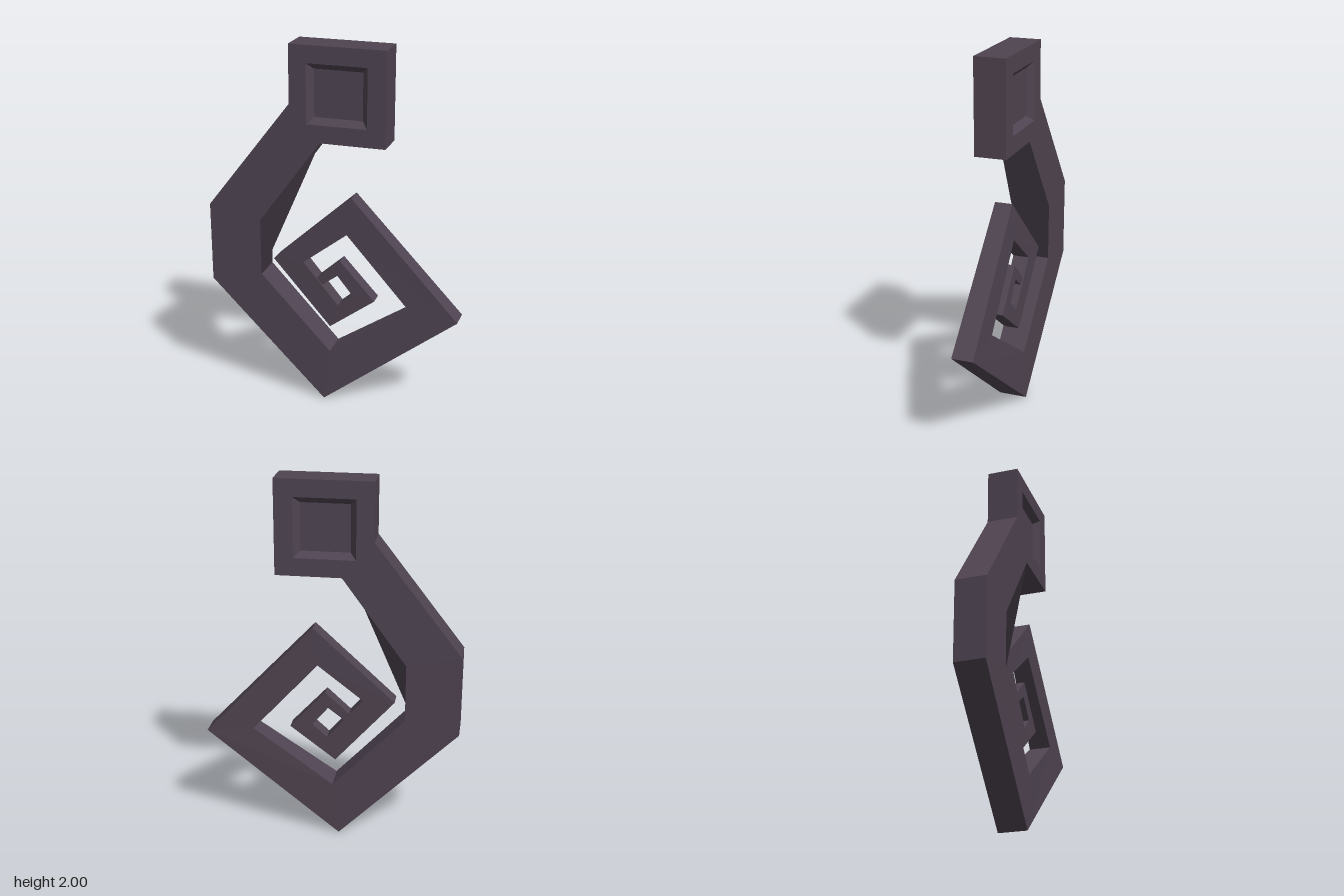
import * as THREE from 'three';

const material = new THREE.MeshStandardMaterial({ color: 0x4f4451 });
material.name = 'dark plum metal';

// Flat-shaded mesh from a list of convex faces (arrays of [x, y, z] corners)
function facesMesh(name, faces, normal) {
  const pos = [];
  for (const f of faces)
    for (let i = 1; i < f.length - 1; i++) pos.push(...f[0], ...f[i], ...f[i + 1]);
  const geo = new THREE.BufferGeometry();
  geo.setAttribute('position', new THREE.Float32BufferAttribute(pos, 3));
  geo.computeVertexNormals();
  if (normal) {
    const n = geo.attributes.normal;
    for (let i = 0; i < n.count; i++) n.setXYZ(i, ...normal);
  }
  const mesh = new THREE.Mesh(geo, material);
  mesh.name = name;
  return mesh;
}

// Cross-sections along the spiral: outer x, y, inner x, y, half depth
const sections = [
  [-0.225, 1.69, -0.06, 1.495, 0.085],
  [-0.69, 1.09, -0.4, 1.03, 0.084],
  [-0.69, 0.65, -0.4, 0.715, 0.082],
  [-0.045, 0.0, -0.01, 0.3, 0.077],
  [0.69, 0.57, 0.43, 0.6, 0.058],
  [0.1, 1.2, 0.075, 0.99, 0.048],
  [-0.34, 0.8, -0.17, 0.8, 0.045],
  [-0.02, 0.435, 0.025, 0.568, 0.042],
  [0.228, 0.62, 0.105, 0.64, 0.04],
  [0.035, 0.83, 0.02, 0.742, 0.038],
  [-0.095, 0.713, -0.068, 0.675, 0.036],
].map(([ox, oy, ix, iy, d]) => ({
  of: [ox, oy, d], ob: [ox, oy, -d], inf: [ix, iy, d], inb: [ix, iy, -d],
}));

function createSpiral() {
  const faces = [];
  for (let i = 0; i < sections.length - 1; i++) {
    const a = sections[i], b = sections[i + 1];
    faces.push([a.of, b.of, b.inf, a.inf]); // front
    faces.push([a.inb, b.inb, b.ob, a.ob]); // back
    faces.push([a.of, a.ob, b.ob, b.of]); // outer wall
    if (i > 1) faces.push([a.inf, b.inf, b.inb, a.inb]); // inner wall
  }
  const e = sections[sections.length - 1];
  faces.push([e.of, e.ob, e.inb, e.inf]); // tip
  return facesMesh('spiralHook', faces);
}

// Inner side of the neck: one bent six-sided panel that bridges the front corner
function createNeckPanel() {
  const [a, b, c] = sections;
  return facesMesh('neckInnerPanel', [
    [a.inf, b.inf, c.inf], [a.inf, c.inf, b.inb],
    [c.inf, c.inb, b.inb], [a.inf, b.inb, a.inb],
  ], [0.92, -0.4, 0]);
}

// Square head with a bevelled recess on the front and back
function createHead() {
  const rect = (x0, x1, y0, y1, z) => [[x0, y0, z], [x1, y0, z], [x1, y1, z], [x0, y1, z]];
  const outer = [-0.225, 0.29, 1.495, 2];
  const rim = [-0.132, 0.192, 1.59, 1.907];
  const floor = [-0.1, 0.16, 1.622, 1.874];
  const loops = [
    rect(...floor, 0.05), rect(...rim, 0.085), rect(...outer, 0.085),
    rect(...outer, -0.085), rect(...rim, -0.085), rect(...floor, -0.05),
  ];
  const faces = [loops[0], [...loops[5]].reverse()];
  for (let k = 0; k < 5; k++)
    for (let i = 0; i < 4; i++) {
      const j = (i + 1) % 4, p = loops[k], q = loops[k + 1];
      faces.push([p[i], q[i], q[j], p[j]]);
    }
  return facesMesh('squareHead', faces);
}

export function createModel() {
  const group = new THREE.Group();
  group.name = 'spiralHookOrnament';
  group.add(createHead(), createSpiral(), createNeckPanel());
  return group;
}
